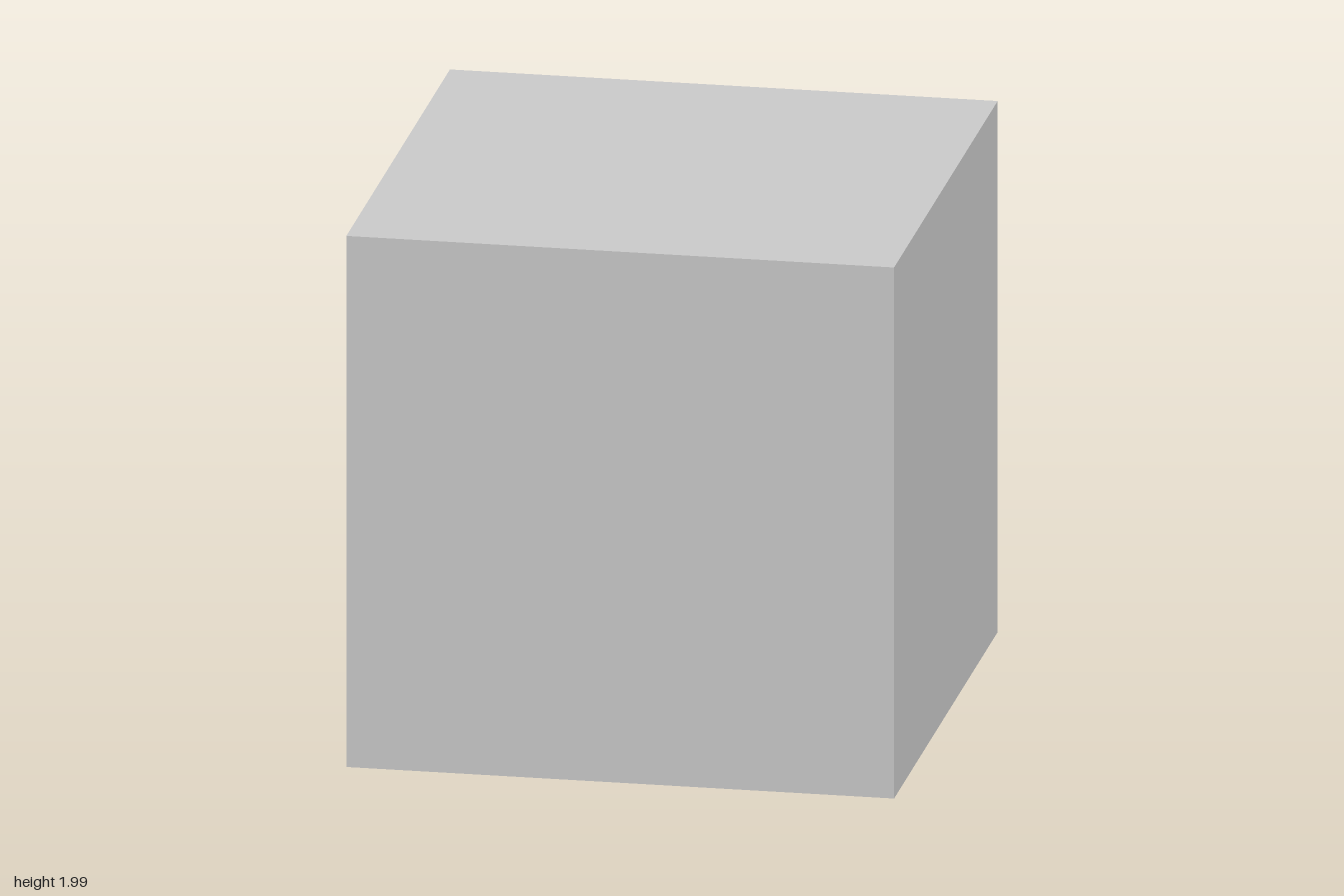
import * as THREE from 'three';

const material = new THREE.MeshStandardMaterial({ color: 0xcccccc, flatShading: true });

function add(parent, name, geometry, x = 0, y = 0, z = 0) {
  const mesh = new THREE.Mesh(geometry, material);
  mesh.name = name;
  mesh.position.set(x, y, z);
  parent.add(mesh);
  return mesh;
}

// box given by its min and max corners
function block(parent, name, [x0, y0, z0], [x1, y1, z1]) {
  return add(parent, name, new THREE.BoxGeometry(x1 - x0, y1 - y0, z1 - z0),
    (x0 + x1) / 2, (y0 + y1) / 2, (z0 + z1) / 2);
}

export function createModel() {
  const model = new THREE.Group();
  model.name = 'cell';
  const W = 0.995, H = 1.99, Z0 = -0.987, Z1 = 1, T = 0.034;

  // room shell, open at the back
  const room = new THREE.Group();
  room.name = 'room';
  model.add(room);
  block(room, 'ceiling', [-W, H - T, Z0], [W, H, Z1]);
  block(room, 'leftWall', [W - T, T, Z0], [W, H - T, Z1]);
  block(room, 'rightWall', [-W, T, Z0], [-W + T, H - T, Z1]);
  block(room, 'frontWall', [-W + T, T, Z1 - T], [W - T, H - T, Z1]);

  // floor with a round drain hole (shape y becomes -z)
  const floorShape = new THREE.Shape([
    new THREE.Vector2(-W, -Z1), new THREE.Vector2(W, -Z1),
    new THREE.Vector2(W, -Z0), new THREE.Vector2(-W, -Z0),
  ]);
  floorShape.holes.push(new THREE.Path().absarc(0.36, -0.69, 0.149, 0, Math.PI * 2, true));
  const floor = new THREE.ExtrudeGeometry(floorShape, { depth: T, bevelEnabled: false, curveSegments: 32 });
  add(room, 'floor', floor.rotateX(-Math.PI / 2));

  // row of vertical bars
  const bars = new THREE.Group();
  bars.name = 'bars';
  model.add(bars);
  const count = 22, step = 2 * (W - T) / (count + 1);
  const barGeometry = new THREE.CylinderGeometry(0.0135, 0.0135, H - 2 * T, 12);
  for (let i = 1; i <= count; i++) {
    add(bars, 'bar', barGeometry, -W + T + i * step, H / 2, -0.95);
  }

  // door frame: two posts and a top rail
  const door = new THREE.Group();
  door.name = 'door';
  model.add(door);
  const xa = -0.815, xb = -0.16, top = 1.27, rail = 0.025, back = -1, inner = -0.88;
  block(door, 'doorPost', [xa, 0.03, back], [xa + rail, top - rail, inner]);
  block(door, 'doorPost', [xb - rail, 0.03, back], [xb, top - rail, inner]);
  block(door, 'doorRail', [xa, top - rail, back], [xb, top, inner]);

  // lock plate with rounded top and a ring around the keyhole
  const lock = new THREE.Group();
  lock.name = 'lock';
  lock.position.set(-0.25, 0.64, -0.99);
  door.add(lock);
  const r = 0.068;
  const plate = new THREE.Shape();
  plate.moveTo(-r, -0.08);
  plate.lineTo(r, -0.08);
  plate.lineTo(r, 0.01);
  plate.absarc(0, 0.01, r, 0, Math.PI, false);
  plate.closePath();
  plate.holes.push(new THREE.Path().absarc(0, 0, 0.025, 0, Math.PI * 2, true));
  add(lock, 'lockPlate', new THREE.ExtrudeGeometry(plate, { depth: 0.06, bevelEnabled: false, curveSegments: 10 }));
  add(lock, 'lockRing', new THREE.TorusGeometry(0.034, 0.008, 8, 20));

  return model;
}
